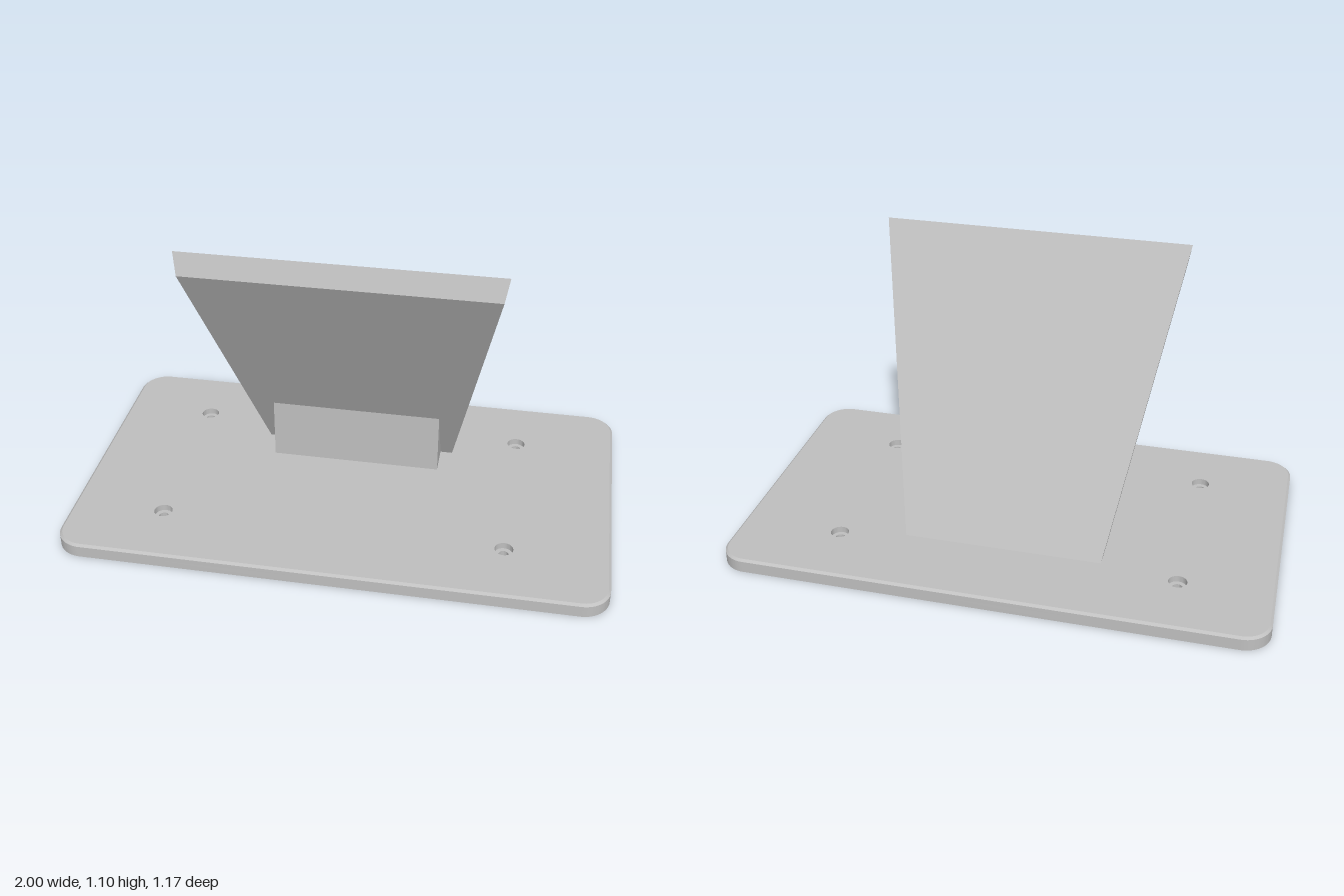
import * as THREE from 'three';
import { toCreasedNormals } from 'three/addons/utils/BufferGeometryUtils.js';

const HALF_X = 1, HALF_Z = 0.583, CORNER = 0.1, TOP = 0.052;
const CHAMFER = 0.009, BORE_FLOOR = 0.028;

// Rounded rectangle pierced by the four screw holes
function plateShape(holeRadius) {
  const s = new THREE.Shape();
  const x = HALF_X - CORNER, y = HALF_Z - CORNER, q = Math.PI / 2;
  s.absarc(x, y, CORNER, 0, q);
  s.absarc(-x, y, CORNER, q, 2 * q);
  s.absarc(-x, -y, CORNER, 2 * q, 3 * q);
  s.absarc(x, -y, CORNER, 3 * q, 4 * q);
  s.closePath();
  for (const hx of [-0.655, 0.618]) {
    for (const hz of [-0.328, 0.335]) {
      const hole = new THREE.Path();
      hole.absarc(hx, -hz, holeRadius, 0, Math.PI * 2, true);
      s.holes.push(hole);
    }
  }
  return s;
}

function plateLayer(holeRadius, y0, y1, steps) {
  const g = new THREE.ExtrudeGeometry(plateShape(holeRadius), {
    depth: y1 - y0, steps, bevelEnabled: false, curveSegments: 16,
  });
  g.rotateX(-Math.PI / 2);
  g.translate(0, y0, 0);
  return g;
}

// Pull the upper outline inwards to form the chamfer
function chamferTop(g) {
  const p = g.attributes.position;
  const cx = HALF_X - CORNER, cz = HALF_Z - CORNER;
  const k = 1 - CHAMFER / CORNER;
  for (let i = 0; i < p.count; i++) {
    if (p.getY(i) < TOP - 0.001) continue;
    const x = THREE.MathUtils.clamp(p.getX(i), -cx, cx);
    const z = THREE.MathUtils.clamp(p.getZ(i), -cz, cz);
    p.setX(i, x + (p.getX(i) - x) * k);
    p.setZ(i, z + (p.getZ(i) - z) * k);
  }
  return g;
}

// Side profile of [z, y] points swept across x; halfWidth depends on height
function sweptProfile(points, halfWidth) {
  const shape = new THREE.Shape(points.map(([z, y]) => new THREE.Vector2(z, y)));
  const g = new THREE.ExtrudeGeometry(shape, { depth: 2, bevelEnabled: false });
  g.translate(0, 0, -1);
  g.rotateY(-Math.PI / 2);
  const p = g.attributes.position;
  for (let i = 0; i < p.count; i++) p.setX(i, p.getX(i) * halfWidth(p.getY(i)));
  return g;
}

export function createModel() {
  const grey = new THREE.MeshStandardMaterial({ color: 0xc0c0c0 });
  grey.name = 'light grey';
  const model = new THREE.Group();
  model.name = 'tiltedStand';

  const add = (name, geometry, parent = model) => {
    const mesh = new THREE.Mesh(toCreasedNormals(geometry, 0.5), grey);
    mesh.name = name;
    parent.add(mesh);
  };

  // Base plate: narrow holes below, wide counterbores above
  const base = new THREE.Group();
  base.name = 'basePlate';
  model.add(base);
  add('lowerPlate', plateLayer(0.018, 0, BORE_FLOOR, 1), base);
  add('upperPlate', chamferTop(plateLayer(0.034, BORE_FLOOR, TOP, 3)), base);

  // Leaning panel, widening towards its top
  add('leaningPanel', sweptProfile(
    [[-0.286, TOP], [-0.222, TOP], [0.27, 1.018], [0.243, 1.098]],
    (y) => 0.37 + 0.199 * (y - TOP) / (1.098 - TOP)));

  // Wedge bracing the panel from the front
  add('supportWedge', sweptProfile(
    [[-0.222, TOP], [-0.1, TOP], [-0.1, 0.292]], () => 0.324));

  return model;
}
